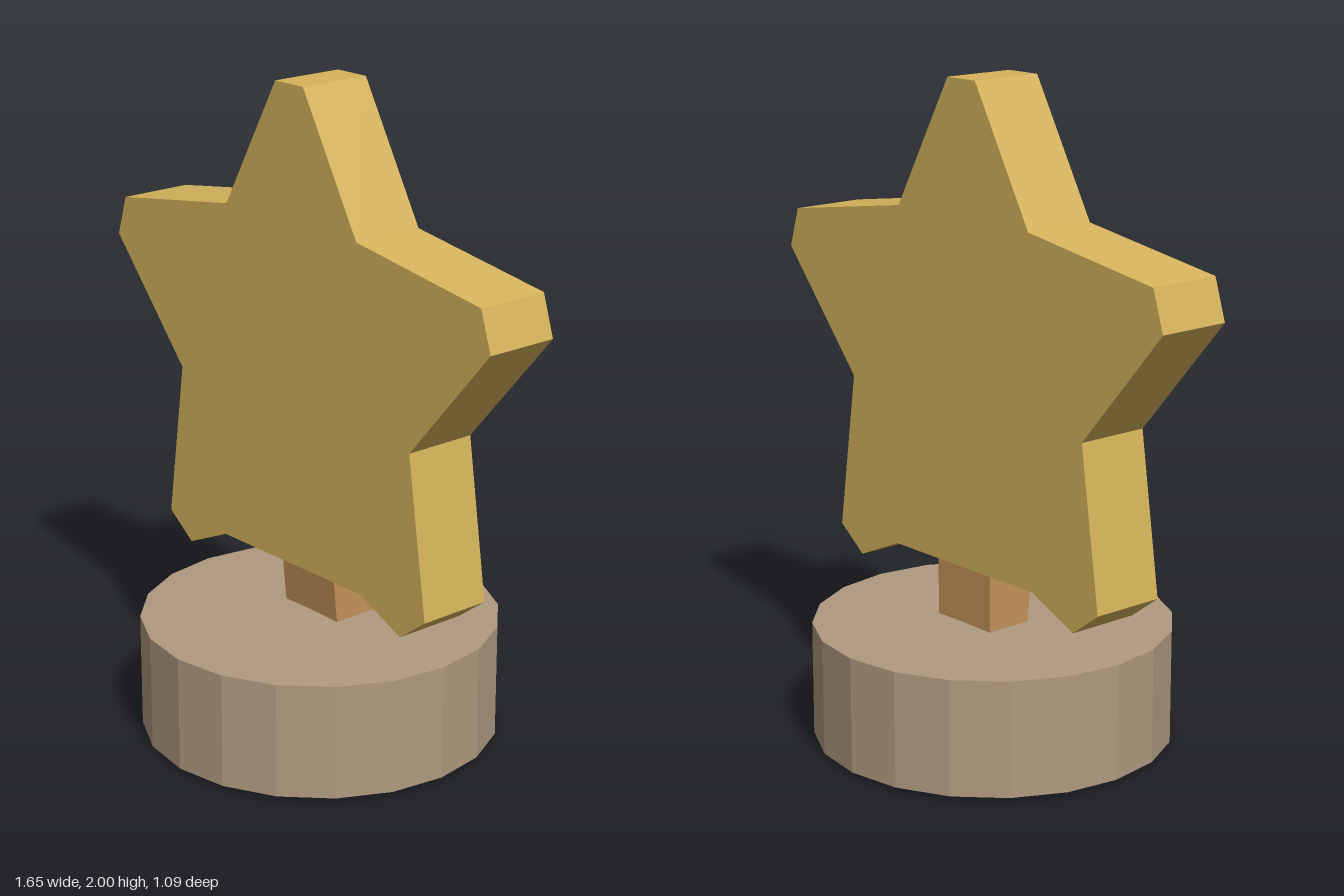
import * as THREE from 'three';

const gold = new THREE.MeshStandardMaterial({ color: 0xd6b45c });
gold.name = 'gold';
const stone = new THREE.MeshStandardMaterial({ color: 0xb09a80 });
stone.name = 'stone';
const wood = new THREE.MeshStandardMaterial({ color: 0xc4935a });
wood.name = 'wood';

function part(name, geometry, material) {
  const mesh = new THREE.Mesh(geometry, material);
  mesh.name = name;
  return mesh;
}

// Gives every face its own normal, for crisp facets
function faceted(geometry) {
  const flat = geometry.toNonIndexed();
  flat.computeVertexNormals();
  return flat;
}

export function createModel() {
  const group = new THREE.Group();
  group.name = 'starTrophy';

  // Round base with twenty sides, very slightly domed above and below
  const profile = [[0, 0], [0.545, 0.012], [0.545, 0.365], [0, 0.378]]
    .map(([r, y]) => new THREE.Vector2(r, y));
  group.add(part('base', faceted(new THREE.LatheGeometry(profile, 20)), stone));

  // Short post, a little narrower at the bottom front
  const post = new THREE.BoxGeometry(0.235, 0.26, 0.17);
  const p = post.attributes.position;
  for (let i = 0; i < p.count; i++) {
    if (p.getY(i) < 0 && p.getZ(i) > 0) p.setZ(i, 0.06);
  }
  post.translate(0, 0.46, -0.03);
  group.add(part('post', faceted(post), wood));

  // Star with blunt tips; the notch between the feet is filled in
  const half = [
    [0.06, 2.0], [0.287, 1.6], [0.785, 1.523], [0.824, 1.4],
    [0.513, 1.04], [0.585, 0.55], [0.483, 0.473], [0.31, 0.55],
  ];
  const outline = [
    ...half,
    ...half.slice().reverse().map(([x, y]) => [-x, y]),
  ].map(([x, y]) => new THREE.Vector2(x, y));
  const star = new THREE.ExtrudeGeometry(new THREE.Shape(outline), {
    depth: 0.235, bevelEnabled: false,
  });
  star.translate(0, 0, -0.12);
  group.add(part('star', star, gold));

  return group;
}
